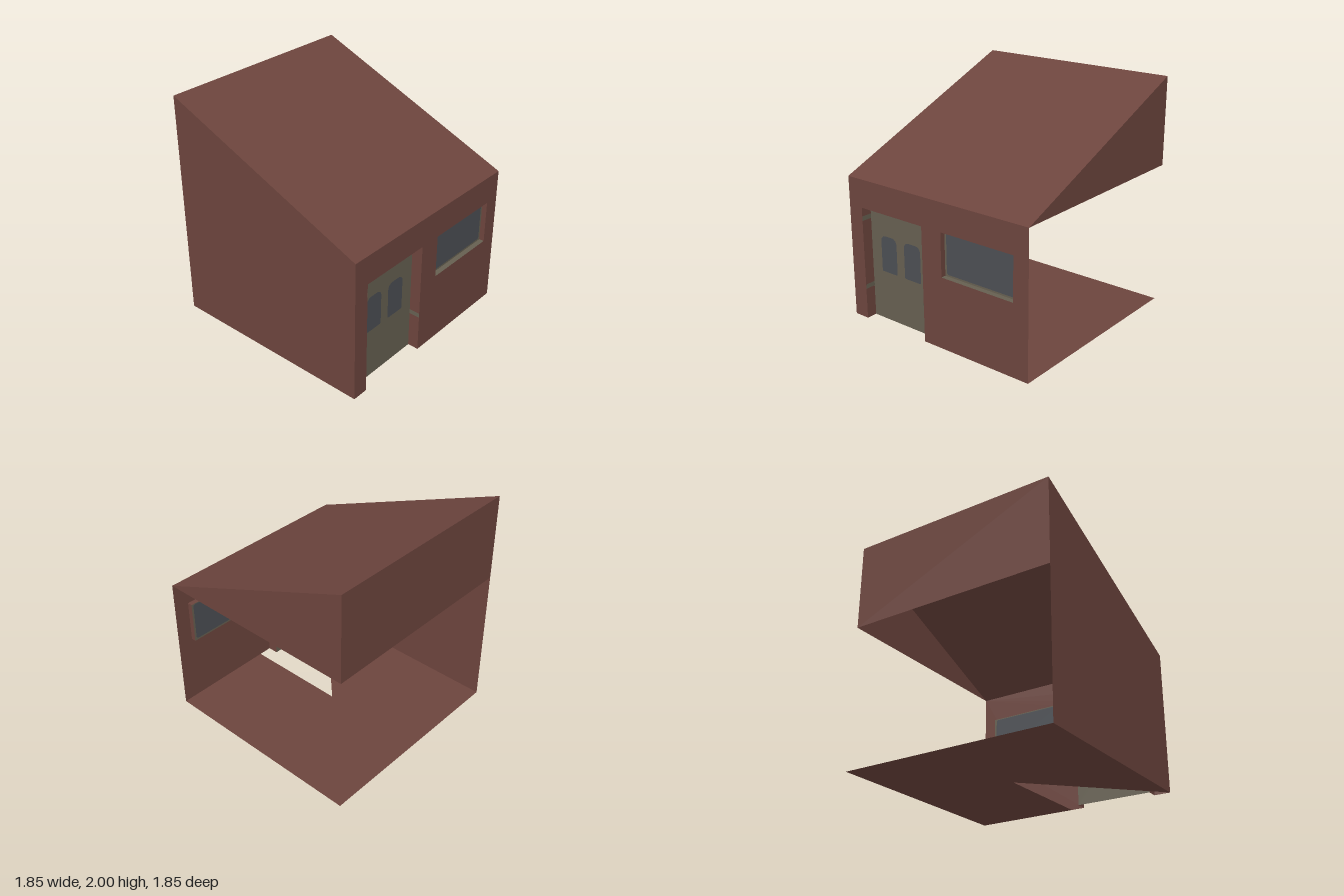
import * as THREE from 'three';

const mat = (name, color) => new THREE.MeshStandardMaterial({ name, color, side: THREE.DoubleSide, flatShading: true });

export function createModel() {
  const brick = mat('brick brown', 0x6c443d);
  const olive = mat('olive paint', 0x655f50);
  const glass = mat('slate glass', 0x4b4e53);
  const model = new THREE.Group();
  model.name = 'leanToShed';

  const H = 0.925, LOW = 1.24, HIGH = 2;
  const DOOR = { z0: 0.12, z1: 0.785, y0: 0, y1: 0.995, x: 0.83 };
  const WIN = { z0: -0.785, z1: -0.08, y0: 0.62, y1: 0.995, x: 0.88 };

  const add = (name, geometry, material) => {
    const mesh = new THREE.Mesh(geometry, material);
    mesh.name = name;
    model.add(mesh);
  };

  // flat polygon as a triangle fan, first point is the hub
  const sheet = (name, material, ...pts) => {
    const tris = [];
    for (let i = 1; i < pts.length - 1; i++) tris.push(...pts[0], ...pts[i], ...pts[i + 1]);
    const g = new THREE.BufferGeometry();
    g.setAttribute('position', new THREE.Float32BufferAttribute(tris, 3));
    g.computeVertexNormals();
    add(name, g, material);
  };

  // shape in the side plane, outline given as (z, y), facing +x
  const outline = (pts, Type = THREE.Shape) => new Type(pts.map(([z, y]) => new THREE.Vector2(-z, y)));
  const sidePanel = (name, material, x, pts, holes = []) => {
    const s = outline(pts);
    s.holes = holes.map((h) => outline(h, THREE.Path));
    add(name, new THREE.ShapeGeometry(s).rotateY(Math.PI / 2).translate(x, 0, 0), material);
  };
  const rect = (z0, z1, y0, y1) => [[z0, y0], [z1, y0], [z1, y1], [z0, y1]];

  // rectangle with rounded corners: radius b at the bottom, t at the top
  const rounded = (z0, z1, y0, y1, b, t) => {
    const pts = [];
    const corners = [[z1 - t, y1 - t, t], [z0 + t, y1 - t, t], [z0 + b, y0 + b, b], [z1 - b, y0 + b, b]];
    corners.forEach(([z, y, r], k) => {
      for (let i = 0; i <= 4; i++) {
        const a = (k + i / 4) * Math.PI / 2;
        pts.push([z + r * Math.cos(a), y + r * Math.sin(a)]);
      }
    });
    return pts;
  };

  // shell: roof, full front wall, upper parts of the back and tall walls
  sheet('roof', brick, [-H, HIGH, H], [H, LOW, H], [H, LOW, -H], [-H, HIGH, -H]);
  sheet('frontWall', brick, [-H, 0, H], [H, 0, H], [H, LOW, H], [-H, HIGH, H]);
  sheet('backGable', brick, [H, LOW, -H], [-H, LOW, -H], [-H, HIGH, -H]);
  sheet('upperTallWall', brick, [-H, LOW, -H], [-H, LOW, H], [-H, HIGH, H], [-H, HIGH, -H]);

  // floor fan, open in the wedge behind the door
  sheet('floor', brick, [0, 0, 0], [H, 0, 0], [H, 0, -H], [-H, 0, -H], [-H, 0, H], [H, 0, H]);

  // side wall with the doorway cut from its base and a window opening
  sidePanel('doorWall', brick, H,
    [[H, 0], [DOOR.z1, 0], [DOOR.z1, DOOR.y1], [DOOR.z0, DOOR.y1], [DOOR.z0, 0], [-H, 0], [-H, LOW], [H, LOW]],
    [rect(WIN.z0, WIN.z1, WIN.y0, WIN.y1)]);

  // reveals of both recesses
  for (const [label, o] of [['door', DOOR], ['window', WIN]]) {
    for (const z of [o.z0, o.z1])
      sheet(label + 'Jamb', brick, [o.x, o.y0, z], [H, o.y0, z], [H, o.y1, z], [o.x, o.y1, z]);
    sheet(label + 'Head', brick, [o.x, o.y1, o.z0], [H, o.y1, o.z0], [H, o.y1, o.z1], [o.x, o.y1, o.z1]);
  }
  sheet('windowSill', olive, [WIN.x, WIN.y0, WIN.z0], [WIN.x, WIN.y0, WIN.z1], [H, WIN.y0, WIN.z1], [H, WIN.y0, WIN.z0]);

  // small painted bands on the door jambs
  for (const [z, y] of [[DOOR.z0 + 0.002, 0.32], [DOOR.z1 - 0.002, 0.27], [DOOR.z1 - 0.002, 0.88]])
    sheet('jambBand', olive, [DOOR.x, y, z], [H, y, z], [H, y + 0.04, z], [DOOR.x, y + 0.04, z]);

  // door leaf with two panes
  const panes = [[0.5, 0.675], [0.235, 0.415]].map(([a, b]) => rounded(a, b, 0.435, 0.755, 0.012, 0.05));
  sidePanel('door', olive, DOOR.x, rect(DOOR.z0, DOOR.z1, DOOR.y0, DOOR.y1), panes);
  panes.forEach((p) => sidePanel('doorPane', glass, DOOR.x, p));

  // window frame and glass
  const pane = rounded(-0.767, -0.097, 0.635, 0.987, 0.02, 0.02);
  sidePanel('windowFrame', olive, WIN.x, rect(WIN.z0, WIN.z1, WIN.y0, WIN.y1), [pane]);
  sidePanel('windowGlass', glass, WIN.x, pane);

  return model;
}
